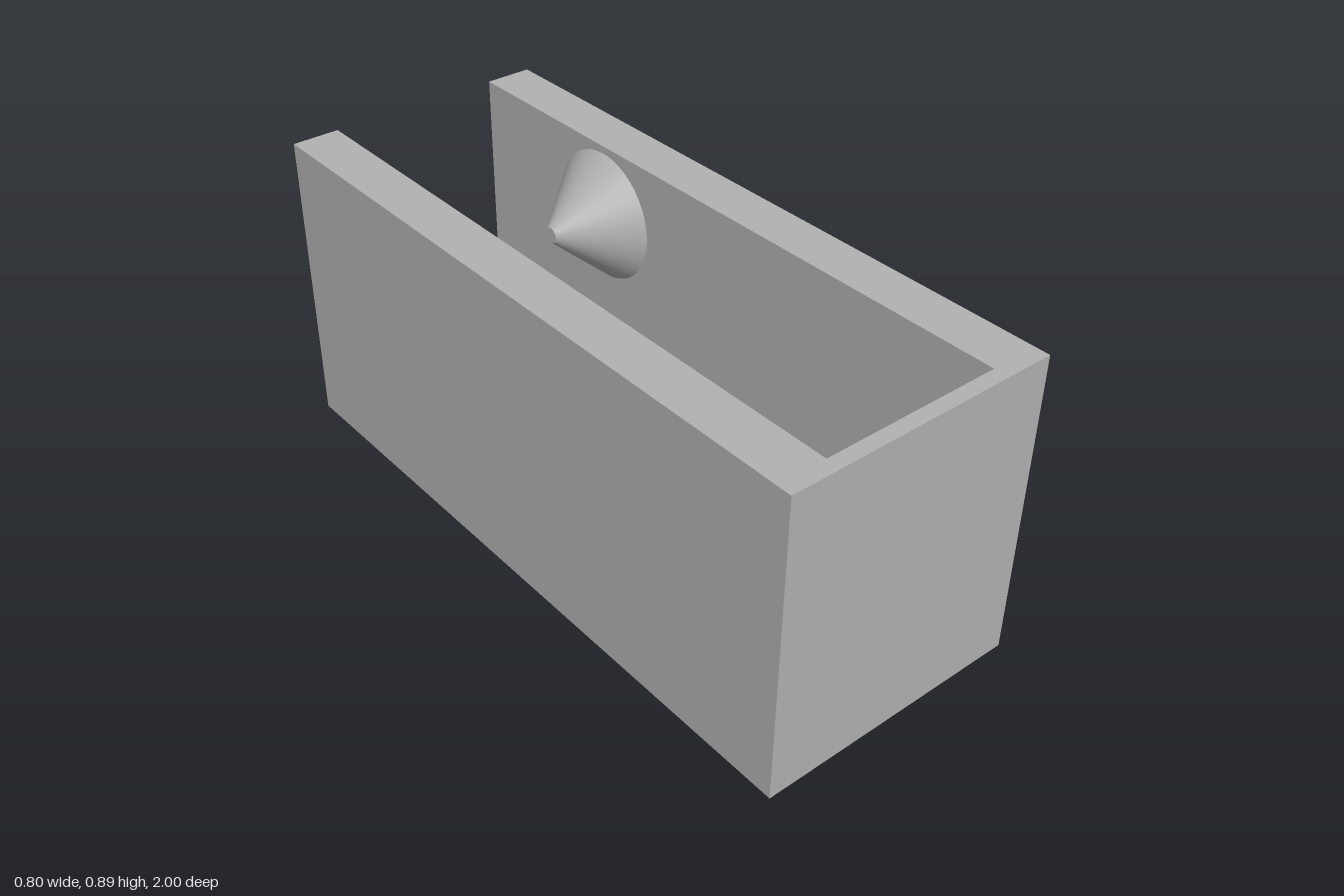
import * as THREE from 'three';

const HALF_W = 0.4, HEIGHT = 0.895, INNER = 0.26, FLOOR = 0.352, END_Z = 0.957;

export function createModel() {
  const group = new THREE.Group();
  const grey = new THREE.MeshStandardMaterial({ color: 0xb2b2b2 });
  grey.name = 'plain grey';

  const add = (name, geometry, x, y, z) => {
    const mesh = new THREE.Mesh(geometry, grey);
    mesh.name = name;
    mesh.position.set(x, y, z);
    group.add(mesh);
    return mesh;
  };

  // U-shaped channel, open at the top and back
  const profile = new THREE.Shape([
    [-HALF_W, 0], [HALF_W, 0], [HALF_W, HEIGHT], [INNER, HEIGHT],
    [INNER, FLOOR], [-INNER, FLOOR], [-INNER, HEIGHT], [-HALF_W, HEIGHT],
  ].map(([x, y]) => new THREE.Vector2(x, y)));
  add('channel', new THREE.ExtrudeGeometry(profile, { depth: 1 + END_Z, bevelEnabled: false }), 0, 0, -1);

  // Thin wall closing the front
  add('frontWall', new THREE.BoxGeometry(HALF_W * 2, HEIGHT, 1 - END_Z), 0, HEIGHT / 2, (1 + END_Z) / 2);

  // Blunt cones facing each other from the side walls
  const tipX = 0.072, length = INNER - tipX;
  for (const [side, name] of [[1, 'leftCone'], [-1, 'rightCone']]) {
    const cone = add(name, new THREE.CylinderGeometry(0.023, 0.193, length, 64),
      side * (INNER + tipX) / 2, 0.68, -0.448);
    cone.rotation.z = side * Math.PI / 2;
  }
  return group;
}
